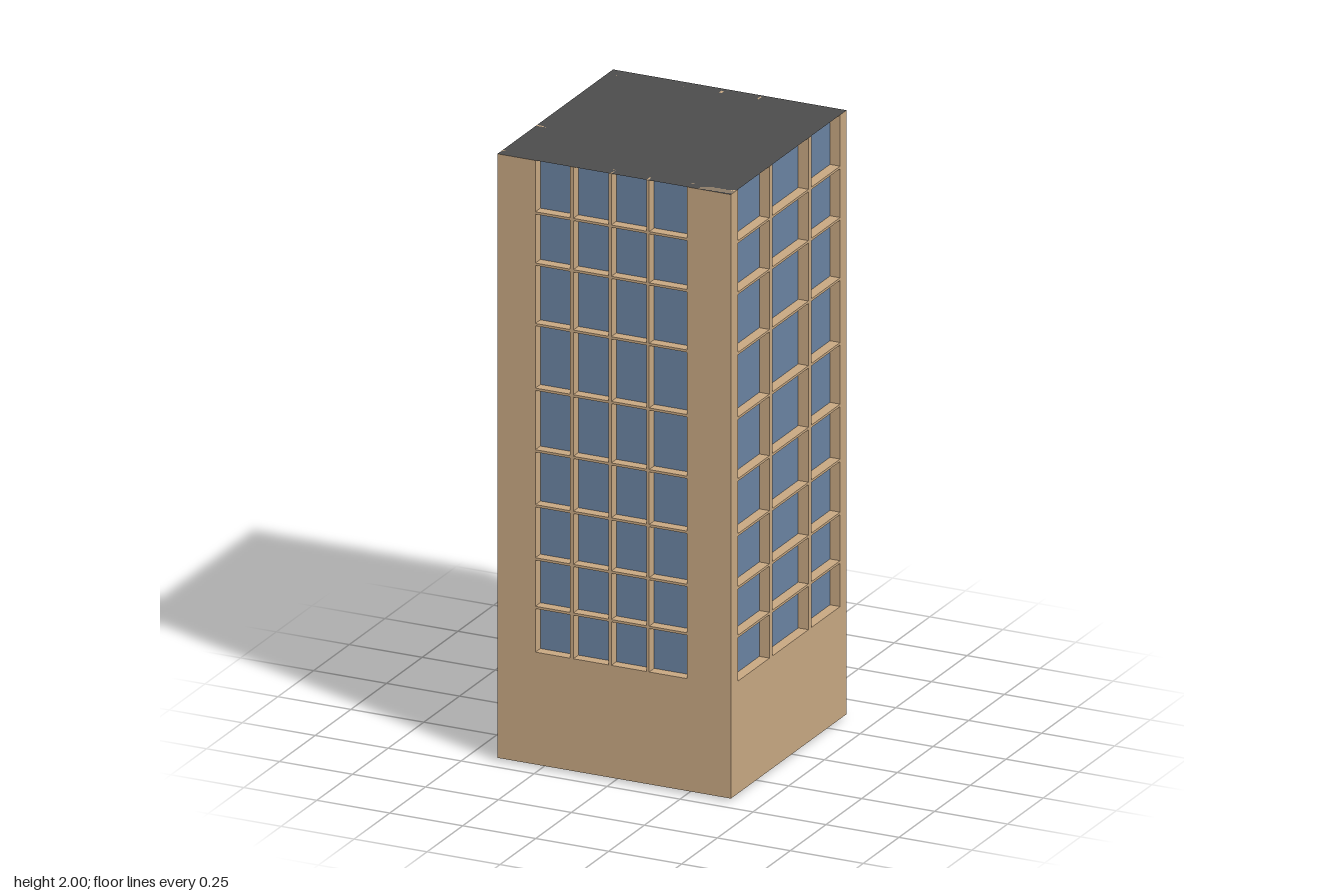
import * as THREE from 'three';

const mat = (color, side = THREE.FrontSide) => new THREE.MeshStandardMaterial({ color, side, flatShading: true });

export function createModel() {
  const model = new THREE.Group();
  const stone = mat(0xc8a882), glass = mat(0x6b84a3), dark = mat(0x222222);
  const roofMat = mat(0x4d4d4d, THREE.DoubleSide);

  // Box given by its minimum and maximum corners
  const box = (name, m, x0, x1, y0, y1, z0, z1, parent = model) => {
    const mesh = new THREE.Mesh(new THREE.BoxGeometry(x1 - x0, y1 - y0, z1 - z0), m);
    mesh.position.set((x0 + x1) / 2, (y0 + y1) / 2, (z0 + z1) / 2);
    mesh.name = name;
    parent.add(mesh);
    return mesh;
  };

  const X = 0.4, ZB = -0.36, ZF = 0.45, D = 0.035; // footprint and window recess
  const Y0 = 0.01, SILL = 0.38, TOP = 2;
  const floors = [0.527, 0.687, 0.862, 1.043, 1.246, 1.459, 1.658, 1.827];

  // Glazed core behind the facades and solid ground floor
  box('glazedCore', glass, -X + D, X - D, SILL, TOP - 0.001, ZB + D, ZF - D);
  box('groundFloor', stone, -X, X, Y0, SILL, ZB + D, ZF);

  // Roof sheet
  const roof = new THREE.Mesh(new THREE.PlaneGeometry(2 * X, ZF - ZB), roofMat);
  roof.rotation.x = -Math.PI / 2;
  roof.position.set(0, TOP, (ZF + ZB) / 2);
  roof.name = 'roof';
  model.add(roof);

  // Piers and ledges: piers alternate with window bays along one wall
  const facade = (name, piers, place) => {
    const group = new THREE.Group();
    group.name = name;
    piers.forEach(([a, b], i) => {
      place('pier', a, b, SILL, TOP, group);
      if (i === 0) return;
      for (const y of floors) place('ledge', piers[i - 1][1], a, y - 0.004, y + 0.004, group);
    });
    model.add(group);
  };
  const frontPiers = [[-X, -0.27], [-0.152, -0.14], [-0.02, -0.01], [0.11, 0.12], [0.25, X]];
  const sidePiers = [[ZB + D, -0.315], [-0.115, -0.093], [0.16, 0.18], [0.402, ZF - D]];
  facade('frontFacade', frontPiers, (n, a, b, y0, y1, g) => box(n, stone, a, b, y0, y1, ZF - D, ZF, g));
  facade('backFacade', frontPiers, (n, a, b, y0, y1, g) => box(n, stone, a, b, y0, y1, ZB, ZB + D, g));
  facade('rightFacade', sidePiers, (n, a, b, y0, y1, g) => box(n, stone, X - D, X, y0, y1, a, b, g));
  facade('leftFacade', sidePiers, (n, a, b, y0, y1, g) => box(n, stone, -X, -X + D, y0, y1, a, b, g));

  // Back wall of the ground floor with openings for shop window and door
  const wall = new THREE.Shape();
  wall.moveTo(-X, Y0);
  wall.lineTo(-0.26, Y0);
  wall.lineTo(-0.26, 0.195);
  wall.lineTo(-0.155, 0.195);
  wall.lineTo(-0.155, Y0);
  wall.lineTo(X, Y0);
  wall.lineTo(X, SILL);
  wall.lineTo(-X, SILL);
  wall.closePath();
  const hole = new THREE.Path();
  hole.moveTo(-0.145, 0.08);
  hole.lineTo(-0.145, 0.24);
  hole.lineTo(0.25, 0.24);
  hole.lineTo(0.25, 0.08);
  hole.closePath();
  wall.holes.push(hole);
  const backWall = new THREE.Mesh(
    new THREE.ExtrudeGeometry(wall, { depth: D, bevelEnabled: false }), stone);
  backWall.position.z = ZB;
  backWall.name = 'entranceWall';
  model.add(backWall);

  box('shopWindow', glass, -0.145, 0.25, 0.08, 0.24, ZB + 0.02, ZB + D);
  box('door', glass, -0.26, -0.155, Y0, 0.195, ZB + 0.025, ZB + D);
  box('doorRail', stone, -0.26, -0.155, 0.072, 0.084, ZB + 0.005, ZB + 0.025);
  box('doorHandle', dark, -0.256, -0.252, 0.09, 0.12, ZB - 0.008, ZB + 0.025);

  // Small tilted lamp over the door
  const lamp = box('lamp', stone, -0.225, -0.19, 0.222, 0.252, ZB - 0.01, ZB - 0.004);
  lamp.rotation.x = -0.2;
  box('lampBracket', dark, -0.21, -0.205, 0.235, 0.24, ZB - 0.006, ZB);

  // Open planters along the back wall
  for (const x of [-0.14, -0.005, 0.13]) {
    const planter = new THREE.Group();
    planter.name = 'planter';
    const x1 = x + 0.114, z0 = -0.45, t = 0.014;
    box('planterBase', stone, x, x1, 0, 0.025, z0, ZB, planter);
    box('planterBackRim', stone, x, x1, 0.025, 0.05, z0, z0 + t, planter);
    box('planterWallRim', stone, x, x1, 0.025, 0.05, ZB - t, ZB, planter);
    box('planterSideRim', stone, x, x + t, 0.025, 0.05, z0 + t, ZB - t, planter);
    box('planterSideRim', stone, x1 - t, x1, 0.025, 0.05, z0 + t, ZB - t, planter);
    model.add(planter);
  }

  return model;
}
